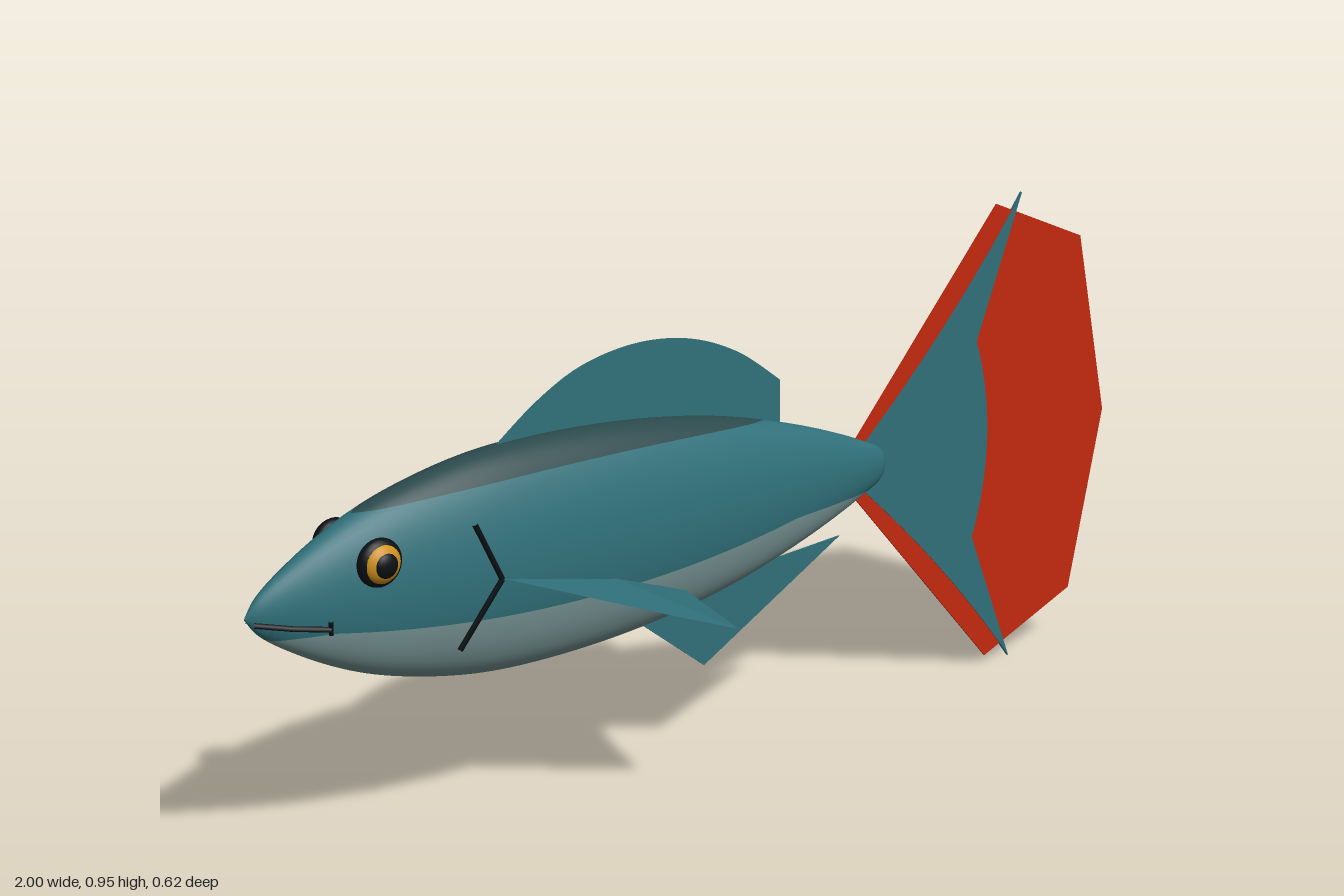
import * as THREE from 'three';

const mat = (name, color, side = THREE.FrontSide) => {
  const m = new THREE.MeshStandardMaterial({ color, side });
  m.name = name;
  return m;
};

const MID = 0.48;      // height of the body axis
const SQUASH = 0.455;  // body half width / half height

// Half height of the body along x
const profile = new THREE.CatmullRomCurve3([
  [-1, 0], [-0.975, 0.033], [-0.9, 0.085], [-0.8, 0.136], [-0.7, 0.17], [-0.55, 0.2],
  [-0.4, 0.208], [-0.2, 0.198], [0, 0.168], [0.2, 0.113], [0.35, 0.056], [0.4, 0.03], [0.415, 0],
].map(([x, r]) => new THREE.Vector3(x, r, 0)));

// Heights where the belly and the back colours begin
const bellyLine = (x) => 0.4 + 0.035 * Math.min(1, ((x + 0.35) / 0.5) ** 2);
const backLine = (x) => 0.642 - 0.02 * Math.min(1, ((x + 0.35) / 0.45) ** 2);
const angleAt = (y, r) => Math.asin(THREE.MathUtils.clamp((y - MID) / Math.max(r, 1e-4), -1, 1));

// One colour band of the body, between two angles, on both sides
function bodyBand(from, to) {
  const pos = [], nor = [], idx = [], U = 80, V = 14;
  for (const s of [1, -1]) {
    const base = pos.length / 3;
    for (let i = 0; i <= U; i++) {
      const p = profile.getPoint(i / U), t = profile.getTangent(i / U);
      const r = Math.max(p.y, 0), a0 = from(p.x, r), a1 = to(p.x, r);
      for (let j = 0; j <= V; j++) {
        const a = a0 + (a1 - a0) * j / V, sin = Math.sin(a), cos = Math.cos(a);
        pos.push(p.x, MID + r * sin, s * SQUASH * r * cos);
        const n = new THREE.Vector3(-t.y, t.x * sin, s * t.x * cos / SQUASH).normalize();
        nor.push(n.x, n.y, n.z);
        if (i < U && j < V) {
          const k = base + i * (V + 1) + j, q = k + V + 1;
          if (s > 0) idx.push(k, q, q + 1, k, q + 1, k + 1);
          else idx.push(k, q + 1, q, k, k + 1, q + 1);
        }
      }
    }
  }
  const g = new THREE.BufferGeometry();
  g.setAttribute('position', new THREE.Float32BufferAttribute(pos, 3));
  g.setAttribute('normal', new THREE.Float32BufferAttribute(nor, 3));
  g.setIndex(idx);
  return g;
}

// Thin upright plate centred on z = 0
function plate(shape, depth) {
  return new THREE.ExtrudeGeometry(shape, { depth, bevelEnabled: false, curveSegments: 20 })
    .translate(0, 0, -depth / 2);
}

export function createModel() {
  const group = new THREE.Group();
  const teal = mat('teal', 0x30707a);
  const finTeal = mat('fin teal', 0x30707a, THREE.DoubleSide);
  const dark = mat('dark back', 0x2a484b);
  const pale = mat('pale belly', 0x7a9797);
  const red = mat('red', 0xc4280f);
  const amber = mat('amber', 0xd0901c);
  const black = mat('black', 0x0a0f12);

  const add = (name, geometry, material, parent = group) => {
    const m = new THREE.Mesh(geometry, material);
    m.name = name;
    parent.add(m);
    return m;
  };

  // Body in three bands
  const belly = (x, r) => angleAt(bellyLine(x), r), back = (x, r) => angleAt(backLine(x), r);
  add('belly', bodyBand(() => -Math.PI / 2, belly), pale);
  add('flanks', bodyBand(belly, back), teal);
  add('back', bodyBand(back, () => Math.PI / 2), dark);

  // Dorsal fin
  const dorsal = new THREE.Shape();
  dorsal.moveTo(-0.5, 0.675);
  dorsal.splineThru([[-0.4, 0.747], [-0.3, 0.795], [-0.18, 0.815], [-0.06, 0.803], [0.05, 0.76], [0.15, 0.69]]
    .map((p) => new THREE.Vector2(...p)));
  dorsal.lineTo(0.15, 0.58);
  dorsal.lineTo(-0.4, 0.6);
  add('dorsalFin', plate(dorsal, 0.003), teal);

  // Anal fin
  const anal = new THREE.Shape([[-0.21, 0.31], [-0.03, 0.17], [0.3, 0.355], [-0.04, 0.33]]
    .map((p) => new THREE.Vector2(...p)));
  add('analFin', plate(anal, 0.003), teal);

  // Tail fan with the teal fork over it
  const fan = new THREE.Shape([[0.29, 0.48], [0.33, 0.43], [0.69, 0.02], [0.92, 0.115], [1, 0.48],
    [0.92, 0.85], [0.69, 0.945], [0.33, 0.53]].map((p) => new THREE.Vector2(...p)));
  add('tailFan', plate(fan, 0.003), red);

  const fork = new THREE.Shape();
  fork.moveTo(0.34, 0.48);
  fork.lineTo(0.35, 0.44);
  fork.quadraticCurveTo(0.58, 0.235, 0.755, 0.005);
  fork.lineTo(0.645, 0.28);
  fork.quadraticCurveTo(0.715, 0.48, 0.645, 0.68);
  fork.lineTo(0.755, 0.96);
  fork.quadraticCurveTo(0.58, 0.725, 0.35, 0.52);
  add('tailFork', plate(fork, 0.006), teal);

  // Paired parts
  for (const s of [1, -1]) {
    const side = new THREE.Group();
    side.name = s > 0 ? 'leftSide' : 'rightSide';
    group.add(side);
    const v = (x, y, z) => new THREE.Vector3(x, y, s * z);

    // Folded pectoral fin: root, edge fold, tip, rear corner, base fold
    const root = v(-0.54, 0.477, 0.095), edge = v(-0.3, 0.4, 0.25), tip = v(-0.2, 0.37, 0.312);
    const rear = v(-0.13, 0.36, 0.075), fold = v(-0.3, 0.425, 0.08);
    const fin = new THREE.BufferGeometry().setFromPoints(
      [root, fold, edge, fold, tip, edge, fold, rear, tip]);
    if (s < 0) fin.setIndex([0, 2, 1, 3, 5, 4, 6, 8, 7]);
    // wind the faces so the upper side is the front
    const p = fin.index ? fin.toNonIndexed() : fin;
    const flip = p.clone().setIndex([0, 2, 1, 3, 5, 4, 6, 8, 7]).toNonIndexed();
    flip.computeVertexNormals();
    add('pectoralFin', flip, finTeal, side);

    // Lines for gill and mouth
    const line = (name, pts, radius) => {
      for (let i = 0; i + 1 < pts.length; i++) {
        add(name, new THREE.TubeGeometry(new THREE.LineCurve3(pts[i], pts[i + 1]), 1, radius, 6), black, side);
      }
    };
    line('gillLine', [v(-0.6, 0.588, 0.095), v(-0.553, 0.482, 0.105), v(-0.632, 0.366, 0.088)], 0.005);
    line('mouthLine', [v(-0.99, 0.472, 0.016), v(-0.93, 0.46, 0.042), v(-0.872, 0.452, 0.064)], 0.005);
    line('mouthCorner', [v(-0.872, 0.442, 0.064), v(-0.872, 0.466, 0.064)], 0.004);

    // Eye: dark rim, amber iris, black pupil
    const eye = new THREE.Group();
    eye.name = 'eye';
    eye.position.copy(v(-0.777, 0.551, 0.07));
    side.add(eye);
    const dome = (name, r, depth, z, m) => {
      const d = add(name, new THREE.SphereGeometry(r, 28, 16), m, eye);
      d.scale.z = depth / r;
      d.position.z = s * z;
    };
    dome('eyeRim', 0.043, 0.022, 0, black);
    dome('iris', 0.037, 0.026, 0.003, amber);
    dome('pupil', 0.023, 0.012, 0.02, black);
  }
  return group;
}
